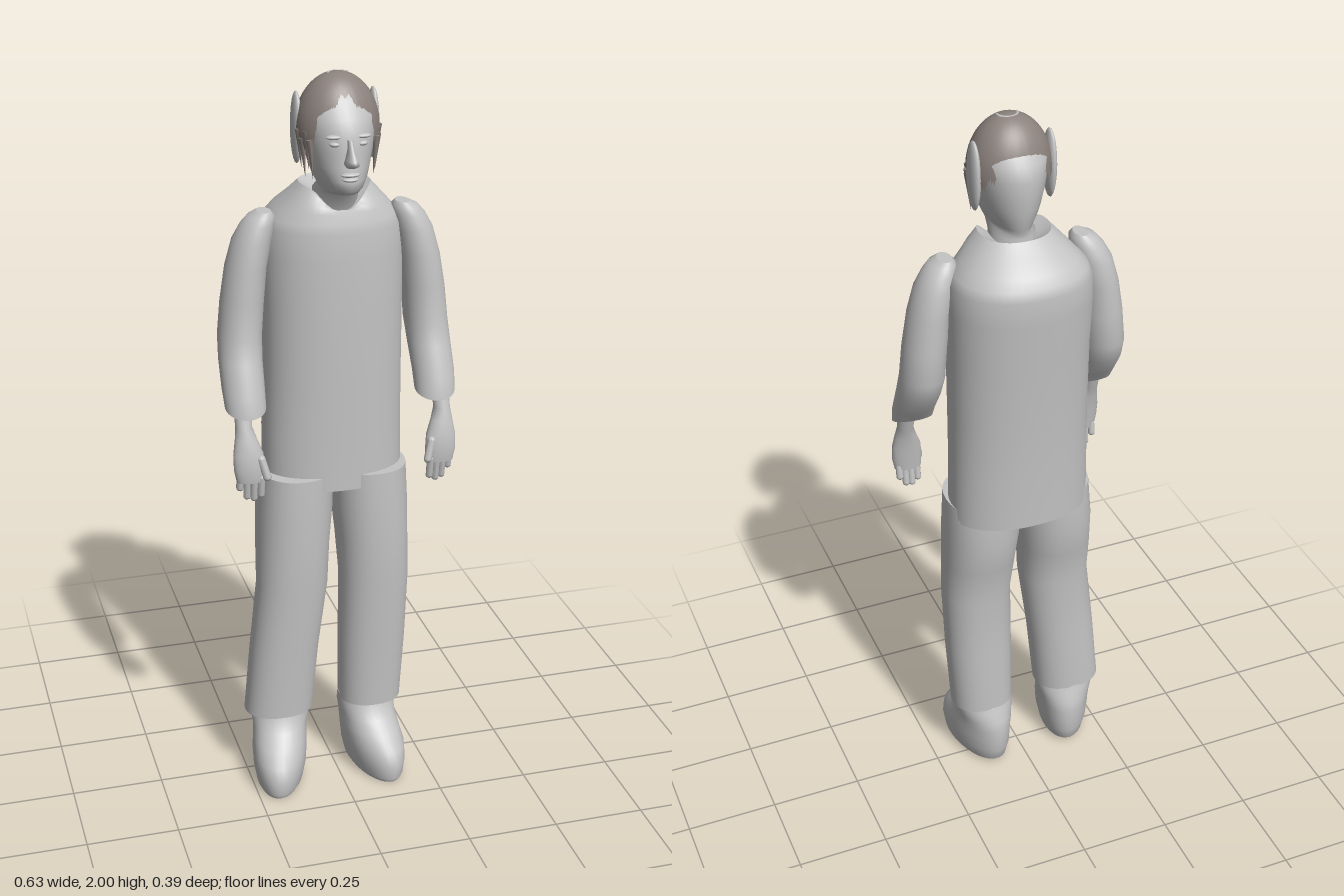
import * as THREE from 'three';

const cloth = new THREE.MeshStandardMaterial({ name: 'pale grey', color: 0xc4c4c4 });
const hairMat = new THREE.MeshStandardMaterial({ name: 'brown grey hair', color: 0x8c827d, side: THREE.DoubleSide });

// Skin stacked ellipse rings, listed bottom to top: [x, y, z, rx, rz, frontTilt, frontDip]
function loft(rings, power = 1, seg = 32) {
  const pos = [], idx = [];
  const point = ([x, y, z, rx, rz, tilt = 0, dip = 0], i) => {
    const a = (i / seg) * Math.PI * 2, c = Math.cos(a), s = Math.sin(a);
    const sq = v => Math.sign(v) * Math.abs(v) ** power;
    pos.push(x + rx * sq(c), y + tilt * s - dip * Math.max(0, s) ** 4, z + rz * sq(s));
  };
  rings.forEach(r => { for (let i = 0; i < seg; i++) point(r, i); });
  for (let j = 0; j < rings.length - 1; j++) {
    for (let i = 0; i < seg; i++) {
      const a = j * seg + i, b = j * seg + (i + 1) % seg;
      idx.push(a, a + seg, b + seg, a, b + seg, b);
    }
  }
  // End caps have their own vertices, so their edges stay sharp
  [rings[0], rings[rings.length - 1]].forEach((r, top) => {
    const base = pos.length / 3;
    for (let i = 0; i < seg; i++) point(r, i);
    pos.push(r[0], r[1] - (r[6] || 0), r[2]);
    for (let i = 0; i < seg; i++) {
      const n = base + (i + 1) % seg;
      idx.push(base + seg, top ? n : base + i, top ? base + i : n);
    }
  });
  const g = new THREE.BufferGeometry();
  g.setAttribute('position', new THREE.Float32BufferAttribute(pos, 3));
  g.setIndex(idx);
  g.computeVertexNormals();
  return g;
}

function add(parent, name, geometry, material = cloth) {
  const m = new THREE.Mesh(geometry, material);
  m.name = name;
  parent.add(m);
  return m;
}

function blob(parent, name, x, y, z, rx, ry, rz) {
  const m = add(parent, name, new THREE.SphereGeometry(1, 16, 12));
  m.position.set(x, y, z);
  m.scale.set(rx, ry, rz);
  return m;
}

// Hair cap: a dome whose lower edge follows a hairline
function hairCap() {
  const g = new THREE.SphereGeometry(1, 96, 16);
  const p = g.attributes.position, uv = g.attributes.uv;
  for (let i = 0; i < p.count; i++) {
    const phi = uv.getX(i) * Math.PI * 2, s = Math.sin(phi);
    const edge = s > 0 ? -0.35 + 1.0 * s ** 4 : -0.35 + 0.57 * s * s;
    const limit = Math.acos(edge + 0.05 * Math.sin(phi * 23));
    const t = (1 - uv.getY(i)) * limit;
    p.setXYZ(i, 0.007 - 0.108 * Math.cos(phi) * Math.sin(t), 1.86 + 0.14 * Math.cos(t), 0.03 + 0.098 * s * Math.sin(t));
  }
  g.computeVertexNormals();
  return g;
}

function makeHead() {
  const head = new THREE.Group();
  head.name = 'head';
  // y, half width, front z, back z
  const profile = [
    [1.62, 0.06, 0.07, -0.06], [1.70, 0.058, 0.085, -0.055], [1.712, 0.05, 0.14, -0.058],
    [1.725, 0.055, 0.16, -0.062], [1.75, 0.067, 0.163, -0.07], [1.78, 0.077, 0.157, -0.076],
    [1.82, 0.086, 0.153, -0.081], [1.86, 0.092, 0.15, -0.082], [1.9, 0.094, 0.135, -0.076],
    [1.94, 0.082, 0.108, -0.044], [1.97, 0.06, 0.08, -0.02], [1.985, 0.03, 0.055, 0.005]];
  add(head, 'skullAndNeck', loft(profile.map(([y, w, f, b]) => [0.007, y, (f + b) / 2, w, (f - b) / 2])));
  add(head, 'nose', loft([
    [0.007, 1.788, 0.158, 0.012, 0.018], [0.007, 1.797, 0.165, 0.018, 0.034],
    [0.007, 1.808, 0.163, 0.014, 0.033], [0.007, 1.83, 0.157, 0.008, 0.02],
    [0.007, 1.855, 0.15, 0.007, 0.012]], 1, 16));
  blob(head, 'upperLip', 0.007, 1.768, 0.155, 0.025, 0.006, 0.014);
  blob(head, 'lowerLip', 0.007, 1.756, 0.156, 0.021, 0.006, 0.013);
  for (const s of [-1, 1]) {
    blob(head, 'eye', 0.007 + s * 0.034, 1.842, 0.136, 0.015, 0.007, 0.012);
    blob(head, 'brow', 0.007 + s * 0.036, 1.86, 0.136, 0.022, 0.006, 0.012);
    blob(head, 'sidePanel', 0.007 + s * 0.1, 1.86, 0.01, 0.014, 0.092, 0.034);
    // Thin locks hanging beside the face
    for (let i = 0; i < 4; i++) {
      const lock = add(head, 'hairLock', new THREE.ConeGeometry(0.009, 0.1, 6), hairMat);
      lock.position.set(0.007 + s * (0.1 - i * 0.006), 1.815 - (i % 2) * 0.02, 0.045 + i * 0.014);
      lock.rotation.set(Math.PI, 0, s * 0.08);
    }
  }
  add(head, 'hair', hairCap(), hairMat);
  const arc = add(head, 'crownArc', new THREE.TorusGeometry(0.026, 0.004, 6, 24, Math.PI));
  arc.position.set(0.008, 1.995, 0.04);
  arc.rotation.x = -Math.PI / 2;
  return head;
}

function makeArm(s) {
  const arm = new THREE.Group();
  arm.name = s > 0 ? 'leftArm' : 'rightArm';
  const at = rings => rings.map(([x, ...rest]) => [s * x + 0.003, ...rest]);
  add(arm, 'sleeve', loft(at([
    [0.257, 1.155, 0.088, 0.054, 0.05, -0.02], [0.258, 1.2, 0.07, 0.056, 0.06, -0.012],
    [0.256, 1.27, 0.033, 0.057, 0.066], [0.252, 1.33, 0.012, 0.058, 0.068],
    [0.244, 1.42, 0.01, 0.057, 0.066], [0.232, 1.51, 0.008, 0.054, 0.065],
    [0.215, 1.58, 0.008, 0.051, 0.061], [0.2, 1.62, 0.01, 0.044, 0.05],
    [0.19, 1.642, 0.012, 0.034, 0.042], [0.184, 1.653, 0.012, 0.018, 0.03]])));
  add(arm, 'hand', loft(at([
    [0.258, 0.965, 0.138, 0.037, 0.018], [0.26, 1.0, 0.138, 0.042, 0.023],
    [0.262, 1.04, 0.133, 0.04, 0.024], [0.266, 1.08, 0.125, 0.029, 0.024],
    [0.269, 1.11, 0.115, 0.022, 0.023], [0.267, 1.18, 0.095, 0.024, 0.025]]), 1, 20));
  // Four fingers, longest towards the body
  for (let i = 0; i < 4; i++) {
    const length = [0.05, 0.06, 0.055, 0.03][i];
    const finger = add(arm, 'finger', new THREE.CapsuleGeometry(0.01, length, 4, 8));
    finger.position.set(s * (0.231 + i * 0.018) + 0.003, 0.975 - length / 2, 0.142 - i * 0.004);
    finger.rotation.x = 0.15;
  }
  const thumb = add(arm, 'thumb', new THREE.CapsuleGeometry(0.011, 0.05, 4, 8));
  thumb.position.set(s * 0.225 + 0.003, 1.005, 0.155);
  thumb.rotation.set(-0.2, 0, -s * 0.25);
  return arm;
}

function makeLeg(s) {
  const leg = new THREE.Group();
  leg.name = s > 0 ? 'leftLeg' : 'rightLeg';
  const left = s > 0;
  // y, z, depth radius, with centre and width per side
  const shape = [[0.2, 0.008, 0.078], [0.4, 0.012, 0.083], [0.6, 0.02, 0.09], [0.72, 0.008, 0.105], [0.82, 0, 0.115], [0.93, 0, 0.113]];
  const centre = left ? [0.108, 0.113, 0.115, 0.111, 0.106, 0.103] : [-0.158, -0.14, -0.118, -0.113, -0.106, -0.1];
  const width = left ? [0.088, 0.094, 0.096, 0.099, 0.103, 0.1] : [0.096, 0.096, 0.098, 0.1, 0.103, 0.1];
  add(leg, 'trouserLeg', loft(shape.map(([y, z, rz], i) => [centre[i], y, z, width[i], rz]), 0.9));
  const shoe = add(leg, 'shoe', loft([
    [0, 0, 0.06, 0.058, 0.125], [0, 0.012, 0.056, 0.066, 0.135], [0, 0.05, 0.052, 0.074, 0.142],
    [0, 0.09, 0.045, 0.077, 0.137], [0, 0.125, 0.025, 0.076, 0.118], [0, 0.155, 0.008, 0.077, 0.096],
    [0, 0.185, 0.003, 0.083, 0.078], [0, 0.215, 0.004, 0.082, 0.07]]));
  shoe.position.x = left ? 0.1 : -0.152;
  shoe.rotation.y = left ? 0.18 : -0.27;
  return leg;
}

export function createModel() {
  const model = new THREE.Group();
  model.name = 'standingFigure';
  // Jacket with sloping shoulders and a notched neckline
  add(model, 'jacket', loft([
    [0.006, 0.89, -0.023, 0.192, 0.128], [0.006, 1.05, -0.025, 0.189, 0.131],
    [0.008, 1.2, -0.028, 0.187, 0.137], [0.01, 1.4, -0.035, 0.187, 0.145],
    [0.01, 1.53, -0.042, 0.189, 0.151], [0.01, 1.6, -0.045, 0.184, 0.151],
    [0.01, 1.625, -0.044, 0.172, 0.144], [0.01, 1.65, -0.038, 0.15, 0.132],
    [0.01, 1.68, -0.02, 0.122, 0.11, 0, 0.02], [0.01, 1.713, -0.008, 0.092, 0.086, 0, 0.06]], 0.9, 48));
  model.add(makeHead());
  for (const s of [-1, 1]) model.add(makeArm(s), makeLeg(s));
  return model;
}
